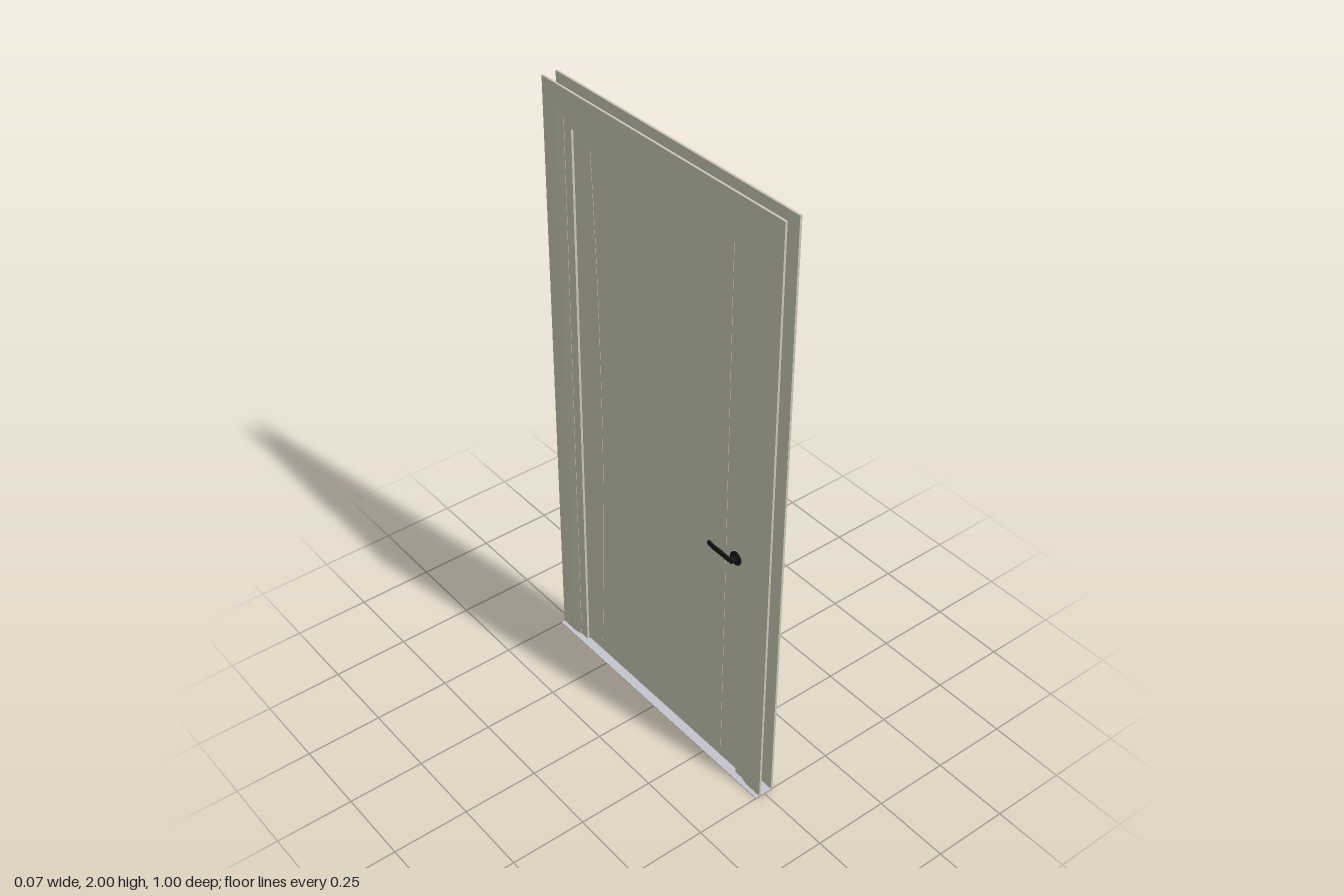
import * as THREE from 'three';

export function createModel() {
  const paint = new THREE.MeshStandardMaterial({ color: 0xcac8b4 });
  const sillGrey = new THREE.MeshStandardMaterial({ color: 0xc4c4cc });
  const black = new THREE.MeshStandardMaterial({ color: 0x141414 });
  paint.name = 'creamPaint'; sillGrey.name = 'sillGrey'; black.name = 'blackMetal';

  const model = new THREE.Group();
  model.name = 'door';

  // box given by its minimum and maximum corners
  function box(name, mat, x0, x1, y0, y1, z0, z1, parent = model) {
    const m = new THREE.Mesh(new THREE.BoxGeometry(x1 - x0, y1 - y0, z1 - z0), mat);
    m.position.set((x0 + x1) / 2, (y0 + y1) / 2, (z0 + z1) / 2);
    m.name = name;
    parent.add(m);
    return m;
  }

  // upright moulding from a plan outline of [x, z] points
  function upright(name, points, y0, y1) {
    const shape = new THREE.Shape(points.map(([x, z]) => new THREE.Vector2(x, -z)));
    const g = new THREE.ExtrudeGeometry(shape, { depth: y1 - y0, bevelEnabled: false });
    g.rotateX(-Math.PI / 2).translate(0, y0, 0);
    const m = new THREE.Mesh(g, paint);
    m.name = name;
    model.add(m);
  }

  const backX = -0.014, frontX = 0.026;   // jamb faces
  const plate = 0.007;                    // casing thickness
  const doorHalf = 0.008;

  // threshold
  box('threshold', sillGrey, -0.034, 0.033, 0, 0.003, -0.5, 0.5);

  // jambs and head
  for (const s of [-1, 1]) {
    box('jamb', paint, backX, frontX, 0.003, 1.915, Math.min(s * 0.38, s * 0.415), Math.max(s * 0.38, s * 0.415));
  }
  box('jambHead', paint, backX, frontX, 1.885, 1.915, -0.38, 0.38);

  // casings on both faces, bevelled towards the opening
  for (const [x, d] of [[frontX, 1], [backX, -1]]) {
    const outer = x + d * plate;
    for (const s of [-1, 1]) {
      upright('sideCasing', [[x, s * 0.5], [outer, s * 0.5], [outer, s * 0.44], [x + d * 0.001, s * 0.412], [x, s * 0.412]], 0.003, 1.917);
    }
    box('headCasing', paint, Math.min(x, outer), Math.max(x, outer), 1.917, 2, -0.5, 0.5);
  }

  // door leaf
  box('leaf', paint, -doorHalf, doorHalf, 0.01, 1.883, -0.378, 0.378);

  // slim curved trims on each face of the leaf
  for (const s of [-1, 1]) {
    const bow = new THREE.Shape();
    bow.moveTo(s * 0.302, 0.05);
    bow.lineTo(s * 0.302, 1.85);
    bow.quadraticCurveTo(s * 0.25, 0.95, s * 0.302, 0.05);
    const g = new THREE.ExtrudeGeometry(bow, { depth: 2 * doorHalf + 0.002, bevelEnabled: false, curveSegments: 20 });
    g.translate(0, 0, -doorHalf - 0.001).rotateY(-Math.PI / 2);
    const m = new THREE.Mesh(g, paint);
    m.name = 'curvedTrim';
    model.add(m);
  }

  // lever handles on both faces
  for (const d of [1, -1]) {
    const handle = new THREE.Group();
    handle.name = d > 0 ? 'handleA' : 'handleB';
    const disc = (name, r, from, to) => {
      const m = new THREE.Mesh(new THREE.CylinderGeometry(r, r, to - from, 20), black);
      m.rotation.z = Math.PI / 2;
      m.position.set(d * (from + to) / 2, 0.84, 0.347);
      m.name = name;
      handle.add(m);
    };
    disc('rose', 0.022, doorHalf, 0.013);
    disc('neck', 0.009, 0.013, 0.03);
    const lever = new THREE.CatmullRomCurve3([
      [0.024, 0.352], [0.028, 0.342], [0.028, 0.30], [0.028, 0.27], [0.026, 0.247],
    ].map(([x, z]) => new THREE.Vector3(d * x, 0, z)));
    const g = new THREE.TubeGeometry(lever, 16, 0.005, 10);
    g.scale(1, 1.9, 1).translate(0, 0.84, 0);
    const m = new THREE.Mesh(g, black);
    m.name = 'lever';
    handle.add(m);
    // closed tip of the lever
    const tip = new THREE.Mesh(new THREE.SphereGeometry(0.005, 10, 8), black);
    tip.scale.y = 1.9;
    tip.position.set(d * 0.026, 0.84, 0.247);
    tip.name = 'leverTip';
    handle.add(tip);
    model.add(handle);
  }

  return model;
}
